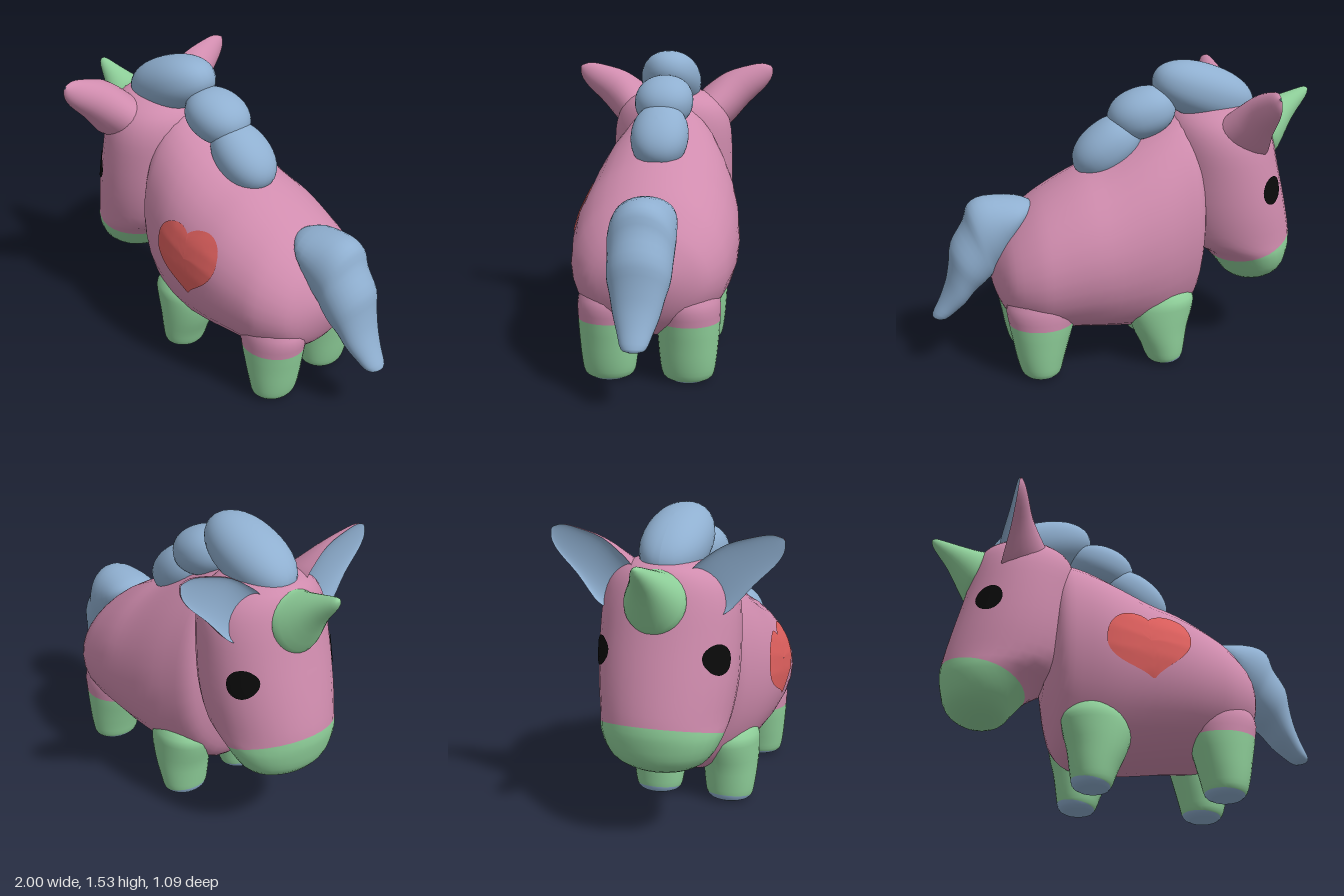
import * as THREE from 'three';

const mat = (name, color, extra = {}) =>
  Object.assign(new THREE.MeshStandardMaterial({ color, ...extra }), { name });

// Smoothly resample rows of numbers along their order
function resample(rows, k = 3) {
  const size = rows[0].length;
  const spline = new THREE.CubicInterpolant(
    Float32Array.from(rows.keys()), Float32Array.from(rows.flat()), size);
  const out = [];
  for (let i = 0; i <= (rows.length - 1) * k; i++) out.push(Array.from(spline.evaluate(i / k)));
  return out;
}

// Oval ring spanning points A and B in the xy plane, with half width w along z
function ring([ax, ay, bx, by, w], z = 0, n = 32) {
  return Array.from({ length: n }, (_, i) => {
    const a = (i / n) * Math.PI * 2, c = (1 + Math.cos(a)) / 2;
    return new THREE.Vector3(bx + (ax - bx) * c, by + (ay - by) * c, z + w * Math.sin(a));
  });
}

// Skin over a list of rings; closed rings get end caps and outward faces
function skin(rings, closed = true) {
  const n = rings[0].length, pts = rings.flat(), idx = [];
  const cols = closed ? n : n - 1;
  for (let r = 0; r < rings.length - 1; r++)
    for (let i = 0; i < cols; i++) {
      const a = r * n + i, b = r * n + (i + 1) % n;
      idx.push(a, b, a + n, b, b + n, a + n);
    }
  if (closed) {
    [0, rings.length - 1].forEach((r) => {
      const c = new THREE.Vector3();
      rings[r].forEach((p) => c.addScaledVector(p, 1 / n));
      const ci = pts.push(c) - 1;
      for (let i = 0; i < n; i++) {
        const a = r * n + i, b = r * n + (i + 1) % n;
        idx.push(...(r ? [a, b, ci] : [b, a, ci]));
      }
    });
    let volume = 0;
    const cross = new THREE.Vector3();
    for (let i = 0; i < idx.length; i += 3)
      volume += pts[idx[i]].dot(cross.crossVectors(pts[idx[i + 1]], pts[idx[i + 2]]));
    if (volume < 0) idx.reverse();
  }
  const g = new THREE.BufferGeometry().setFromPoints(pts);
  g.setIndex(idx);
  g.computeVertexNormals();
  return g;
}

const loft = (rows, z = 0) => skin(resample(rows).map((r) => ring(r, z)));

// Keep the part of a geometry where f >= 0 (f is linear in position)
function clip(geo, f) {
  const g = geo.toNonIndexed(), P = g.attributes.position, N = g.attributes.normal;
  const pos = [], nor = [];
  for (let i = 0; i < P.count; i += 3) {
    const tri = [0, 1, 2].map((k) => {
      const p = new THREE.Vector3().fromBufferAttribute(P, i + k);
      return { p, n: new THREE.Vector3().fromBufferAttribute(N, i + k), d: f(p) };
    });
    const poly = [];
    tri.forEach((a, k) => {
      const b = tri[(k + 1) % 3];
      if (a.d >= 0) poly.push(a);
      if ((a.d >= 0) !== (b.d >= 0)) {
        const t = a.d / (a.d - b.d);
        poly.push({ p: a.p.clone().lerp(b.p, t), n: a.n.clone().lerp(b.n, t) });
      }
    });
    for (let k = 1; k < poly.length - 1; k++)
      [poly[0], poly[k], poly[k + 1]].forEach((v) => { pos.push(...v.p); nor.push(...v.n); });
  }
  const out = new THREE.BufferGeometry();
  out.setAttribute('position', new THREE.Float32BufferAttribute(pos, 3));
  out.setAttribute('normal', new THREE.Float32BufferAttribute(nor, 3));
  return out;
}

export function createModel() {
  const model = new THREE.Group();
  model.name = 'toyUnicorn';
  const pink = mat('pink', 0xd08cae), green = mat('green', 0x8fd09a);
  const blue = mat('blue', 0x8fafd0), red = mat('red', 0xdf605e, { side: THREE.DoubleSide });
  const black = mat('black', 0x0a0a0a, { side: THREE.DoubleSide });
  pink.side = blue.side = THREE.DoubleSide;
  const add = (name, geo, material) => {
    const m = new THREE.Mesh(geo, material);
    m.name = name;
    model.add(m);
    return m;
  };

  // Body: x, top, bottom, half width
  const body = add('body', loft([
    [-0.40, 0.9, 0.5, 0.12], [-0.37, 1.15, 0.36, 0.25], [-0.33, 1.25, 0.24, 0.31],
    [-0.25, 1.25, 0.17, 0.345], [-0.1, 1.18, 0.15, 0.39], [0.1, 1.07, 0.17, 0.41],
    [0.25, 1.01, 0.19, 0.41], [0.4, 0.93, 0.2, 0.39], [0.5, 0.86, 0.22, 0.365],
    [0.6, 0.76, 0.28, 0.3], [0.65, 0.68, 0.35, 0.22], [0.685, 0.6, 0.45, 0.1],
    [0.692, 0.55, 0.52, 0.02],
  ].map(([x, t, b, w]) => [x, t, x, b, w])), pink);

  // Head: height, front, back, half width; the muzzle is cut off by a sloping plane
  const headGeo = loft([
    [0.355, -0.72, -0.66, 0.03], [0.38, -0.8, -0.58, 0.15], [0.44, -0.87, -0.53, 0.235],
    [0.54, -0.9, -0.44, 0.29], [0.63, -0.905, -0.3, 0.31], [0.8, -0.87, -0.25, 0.33],
    [1.0, -0.82, -0.24, 0.33], [1.15, -0.785, -0.24, 0.315], [1.25, -0.755, -0.27, 0.265],
    [1.31, -0.71, -0.35, 0.17], [1.33, -0.6, -0.45, 0.05],
  ].map(([y, f, b, w]) => [f, y, b, y, w]));
  const muzzleLine = (p) => p.y - 0.63 + 0.32 * (p.x + 0.9);
  const head = add('head', clip(headGeo, muzzleLine), pink);
  add('muzzle', clip(headGeo, (p) => -muzzleLine(p)), green);

  // Horn
  add('horn', loft([
    [-0.70, 1.305, -0.79, 1.02, 0.145], [-0.75, 1.305, -0.825, 1.05, 0.132],
    [-0.87, 1.338, -0.905, 1.2, 0.07], [-0.97, 1.366, -0.985, 1.31, 0.028],
    [-0.995, 1.362, -1, 1.35, 0.008],
  ]), green);

  // Legs: height, centre x, half length, half width; sole, hoof sock and thigh colours
  const legs = {
    front: { top: 0.41, sole: (p) => p.y - 0.03 + 0.2 * (p.x + 0.17), rows: [
      [0.005, -0.165, 0.07, 0.08], [0.03, -0.172, 0.095, 0.115], [0.1, -0.165, 0.115, 0.13],
      [0.2, -0.15, 0.145, 0.14], [0.3, -0.15, 0.17, 0.145], [0.37, -0.16, 0.16, 0.14],
      [0.45, -0.16, 0.09, 0.09]] },
    rear: { top: 0.3, sole: (p) => p.y - 0.025 + 0.1 * (p.x - 0.48), rows: [
      [0.005, 0.485, 0.07, 0.08], [0.03, 0.48, 0.1, 0.12], [0.1, 0.48, 0.12, 0.135],
      [0.2, 0.475, 0.143, 0.145], [0.3, 0.47, 0.165, 0.152], [0.4, 0.47, 0.17, 0.15],
      [0.52, 0.46, 0.1, 0.1]] },
  };
  for (const [name, { top, sole, rows }] of Object.entries(legs))
    for (const s of [1, -1]) {
      const side = s > 0 ? 'NearSide' : 'FarSide';
      const geo = loft(rows.map(([y, x, r, w]) => [x - r, y, x + r, y, w]), s * 0.19);
      add(name + 'Sole' + side, clip(geo, (p) => -sole(p)), blue);
      add(name + 'Leg' + side, clip(clip(geo, sole), (p) => top - p.y), green);
      add(name + 'Thigh' + side, clip(geo, (p) => p.y - top), pink);
    }

  // Ears: y, z, half width, front x, depth; rounded pink back and hollow blue front
  const earRows = resample([
    [1.2, 0.21, 0.12, -0.66, 0.26], [1.235, 0.25, 0.125, -0.655, 0.22],
    [1.325, 0.35, 0.107, -0.635, 0.12], [1.39, 0.46, 0.075, -0.625, 0.065],
    [1.425, 0.515, 0.045, -0.62, 0.035], [1.442, 0.54, 0.008, -0.615, 0.01]]);
  for (const s of [1, -1]) {
    const shell = (depthScale) => skin(earRows.map(([y, z, w, x, d]) =>
      Array.from({ length: 17 }, (_, i) => {
        const a = (i / 16) * Math.PI, c = Math.cos(a) * w;
        return new THREE.Vector3(x + d * depthScale * Math.sin(a), y + 0.8 * c, s * (z - 0.6 * c));
      })), false);
    const side = s > 0 ? 'NearSide' : 'FarSide';
    add('ear' + side, shell(1), pink);
    add('innerEar' + side, shell(0.2), blue);
  }

  // Mane: three overlapping tufts: x, y, length, height, width, tilt
  [[-0.425, 1.375, 0.275, 0.14, 0.16, 0.33], [-0.1, 1.285, 0.175, 0.125, 0.15, -0.3],
    [0.08, 1.125, 0.195, 0.125, 0.145, -0.65]].forEach(([x, y, a, b, c, tilt], i) => {
    const g = new THREE.SphereGeometry(1, 32, 24), p = g.attributes.position;
    const square = (v) => Math.sign(v) * Math.abs(v) ** 0.93;
    for (let k = 0; k < p.count; k++)
      p.setXYZ(k, square(p.getX(k)) * a, square(p.getY(k)) * b, square(p.getZ(k)) * c);
    g.computeVertexNormals();
    const tuft = add('maneTuft' + (i + 1), g, blue);
    tuft.position.set(x, y, 0);
    tuft.rotation.z = tilt;
  });

  // Tail
  add('tail', loft([
    [0.47, 0.87, 0.5, 0.8, 0.07], [0.55, 0.9, 0.56, 0.72, 0.14], [0.71, 0.912, 0.61, 0.6, 0.155],
    [0.79, 0.875, 0.66, 0.54, 0.155], [0.82, 0.79, 0.68, 0.51, 0.15],
    [0.885, 0.68, 0.72, 0.47, 0.145], [0.9, 0.58, 0.77, 0.43, 0.125],
    [0.92, 0.48, 0.82, 0.37, 0.105], [0.955, 0.39, 0.87, 0.325, 0.08],
    [0.995, 0.31, 0.92, 0.288, 0.055], [0.985, 0.29, 0.955, 0.281, 0.015],
  ]), blue);

  // Painted details laid on the surface: an outline shrunk towards a centre
  const caster = new THREE.Raycaster();
  model.updateMatrixWorld(true);
  const decal = (name, outline, cx, cy, s, target, material) => {
    const rings = [1, 0.85, 0.7, 0.55, 0.4, 0.2, 0.001].map((k) => outline.map((q) => {
      const x = cx + (q.x - cx) * k, y = cy + (q.y - cy) * k;
      caster.set(new THREE.Vector3(x, y, s * 2), new THREE.Vector3(0, 0, -s));
      const hit = caster.intersectObject(target)[0];
      return new THREE.Vector3(x, y, (hit ? hit.point.z : s * 0.3) + s * 0.006);
    }));
    const g = skin(rings, false);
    if (g.attributes.normal.getZ(0) * s < 0) {
      g.setIndex(Array.from(g.index.array).reverse());
      g.computeVertexNormals();
    }
    add(name, g, material);
  };
  const heart = new THREE.Shape().moveTo(0.06, 0.825)
    .bezierCurveTo(0.11, 0.88, 0.27, 0.89, 0.27, 0.73)
    .bezierCurveTo(0.26, 0.61, 0.13, 0.58, 0.08, 0.5)
    .bezierCurveTo(0.03, 0.56, -0.14, 0.58, -0.145, 0.70)
    .bezierCurveTo(-0.15, 0.87, 0.01, 0.89, 0.06, 0.825);
  decal('heartPatch', heart.getSpacedPoints(60), 0.065, 0.7, 1, body, red);
  const eye = new THREE.EllipseCurve(-0.708, 0.91, 0.061, 0.07).getPoints(32);
  decal('eyeNearSide', eye, -0.708, 0.91, 1, head, black);
  decal('eyeFarSide', eye, -0.708, 0.91, -1, head, black);
  return model;
}
